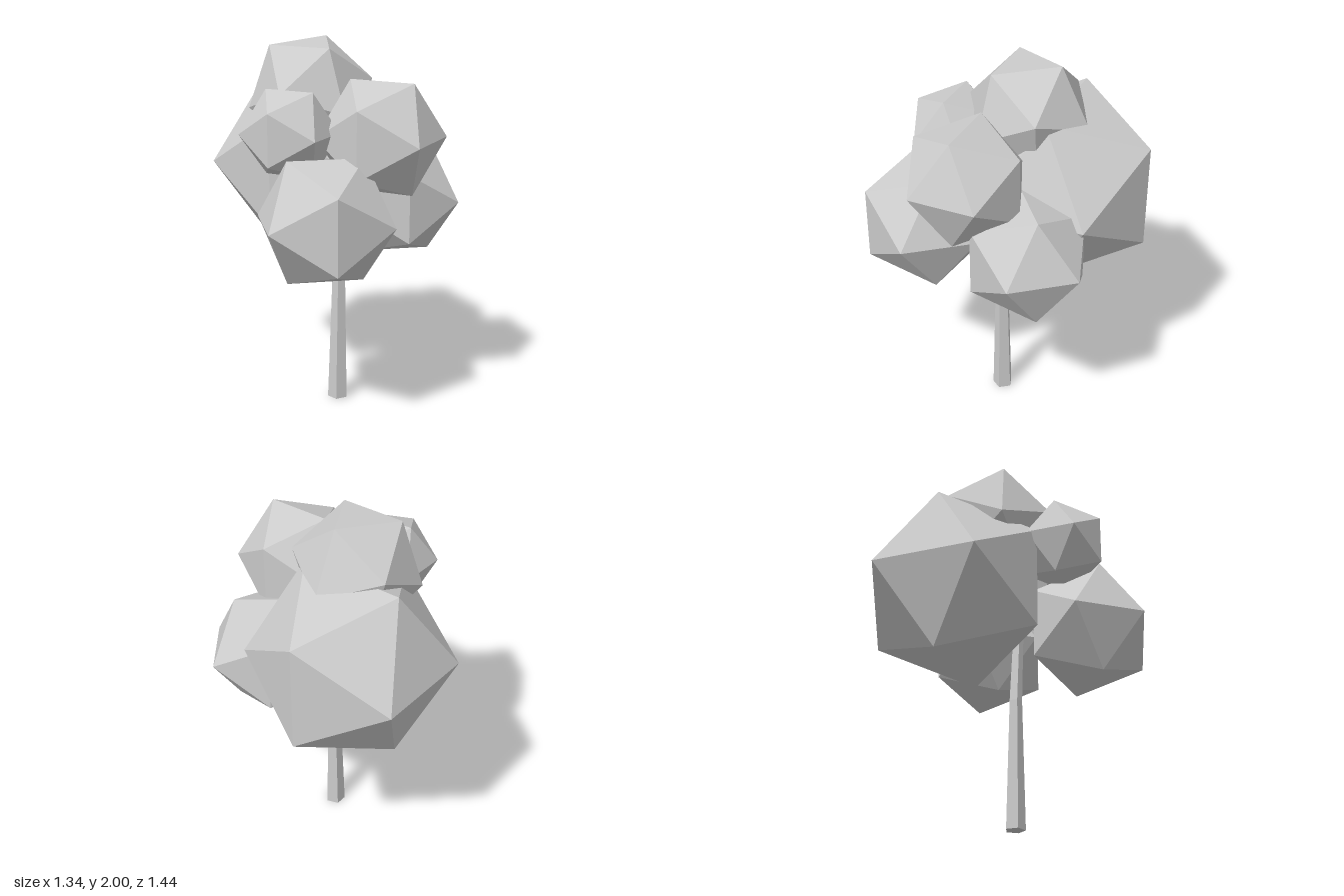
import * as THREE from 'three';

const material = new THREE.MeshStandardMaterial({ color: 0xcccccc, flatShading: true });

// Five-sided trunk: straight taper, then a slight lean into the crown
function createTrunk() {
  const rings = [
    { y: 0, x: 0.09, r: 0.056 },
    { y: 0.72, x: 0.095, r: 0.037 },
    { y: 1.2, x: 0.145, r: 0.03 },
  ];
  const geometry = new THREE.CylinderGeometry(1, 1, 2, 5, 2, false, Math.PI / 2);
  const pos = geometry.attributes.position;
  for (let i = 0; i < pos.count; i++) {
    const ring = rings[Math.round(pos.getY(i) + 1)];
    pos.setXYZ(i, ring.x + pos.getX(i) * ring.r, ring.y, -0.025 + pos.getZ(i) * ring.r);
  }
  geometry.computeVertexNormals();
  const trunk = new THREE.Mesh(geometry, material);
  trunk.name = 'trunk';
  return trunk;
}

// Foliage clumps: name, radius, centre, rotation
const clumps = [
  ['foliageBackLarge', 0.547, [-0.205, 1.295, -0.255], [0, 0, 0]],
  ['foliageTop', 0.341, [-0.11, 1.708, -0.08], [0.457, 0, 0]],
  ['foliageFrontSmall', 0.26, [-0.03, 1.557, 0.3], [0, 0, 0]],
  ['foliageUpperLeft', 0.341, [0.37, 1.53, 0.045], [0, 0, 0]],
  ['foliageLowerFront', 0.377, [0.213, 1.138, 0.364], [0, 0.667, 0]],
  ['foliageLowerBack', 0.353, [0.32, 1.138, -0.268], [0, 0.667, 0]],
];

export function createModel() {
  const tree = new THREE.Group();
  tree.name = 'tree';
  tree.add(createTrunk());

  for (const [name, radius, centre, rotation] of clumps) {
    const clump = new THREE.Mesh(new THREE.IcosahedronGeometry(radius, 0), material);
    clump.name = name;
    clump.position.set(...centre);
    clump.rotation.set(...rotation);
    tree.add(clump);
  }
  return tree;
}
